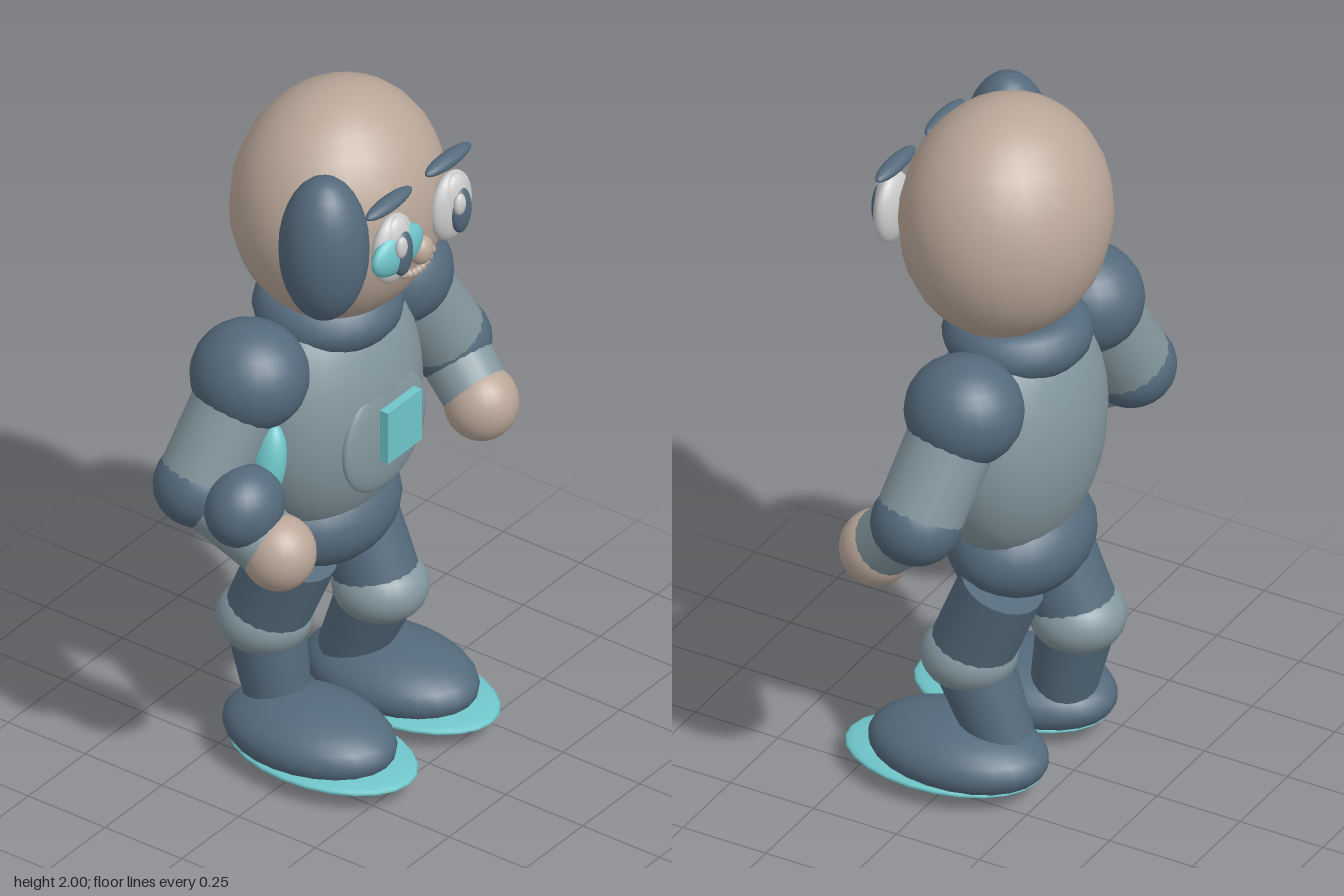
import * as THREE from 'three';

const material = (name, color) => {
  const m = new THREE.MeshStandardMaterial({ color });
  m.name = name;
  return m;
};

export function createModel() {
  const skin = material('skin', 0xbaa799);
  const dark = material('darkSlate', 0x546a7c);
  const grey = material('suitGrey', 0x84979f);
  const teal = material('teal', 0x6fc5c9);
  const white = material('eyeWhite', 0xcdcdcd);

  const model = new THREE.Group();
  model.name = 'spaceFigure';
  const ball = new THREE.SphereGeometry(1, 24, 16);

  const add = (parent, name, geometry, mat, pos) => {
    const mesh = new THREE.Mesh(geometry, mat);
    mesh.name = name;
    mesh.position.set(...pos);
    parent.add(mesh);
    return mesh;
  };
  const ellipsoid = (parent, name, mat, pos, radii) => {
    const mesh = add(parent, name, ball, mat, pos);
    mesh.scale.set(...radii);
    return mesh;
  };
  // Capped cylinder running from a to b
  const limb = (parent, name, mat, a, b, ra, rb) => {
    const from = new THREE.Vector3(...a), to = new THREE.Vector3(...b);
    const dir = to.clone().sub(from);
    const mid = from.clone().add(to).multiplyScalar(0.5);
    const mesh = add(parent, name, new THREE.CylinderGeometry(rb, ra, dir.length(), 20), mat, mid.toArray());
    mesh.quaternion.setFromUnitVectors(new THREE.Vector3(0, 1, 0), dir.normalize());
    return mesh;
  };
  const group = (name) => {
    const g = new THREE.Group();
    g.name = name;
    model.add(g);
    return g;
  };

  // Head with a pad on one side
  const head = group('head');
  ellipsoid(head, 'skull', skin, [0, 1.665, -0.045], [0.31, 0.335, 0.275]);
  ellipsoid(head, 'sidePad', dark, [-0.26, 1.695, 0.1], [0.12, 0.215, 0.12]);
  ellipsoid(head, 'nose', skin, [0, 1.6, 0.222], [0.037, 0.042, 0.032]);

  // Eyes and brows
  for (const s of [-1, 1]) {
    const side = s > 0 ? 'left' : 'right';
    const x = s * 0.128;
    ellipsoid(head, side + 'EyeRim', white, [x, 1.673, 0.225], [0.08, 0.103, 0.036]);
    ellipsoid(head, side + 'Eyeball', white, [x, 1.69, 0.235], [0.053, 0.085, 0.032]);
    ellipsoid(head, side + 'Iris', dark, [x, 1.67, 0.258], [0.037, 0.068, 0.022]);
    ellipsoid(head, side + 'Glint', white, [x - 0.021, 1.703, 0.27], [0.021, 0.032, 0.014]);
    ellipsoid(head, side + 'Brow', dark, [s * 0.13, 1.81, 0.215], [0.097, 0.02, 0.025]);
  }
  ellipsoid(head, 'eyeVisor', teal, [-0.127, 1.673, 0.24], [0.106, 0.065, 0.033]);

  // Smile made of small beads
  for (let i = -4; i <= 4; i++) {
    const t = i / 4;
    ellipsoid(head, 'smileBead', skin, [t * 0.073, 1.533 + 0.022 * t * t, 0.213 - 0.01 * t * t], [0.012, 0.012, 0.012]);
  }

  // Torso, collar, chest plate and pelvis
  const body = group('body');
  ellipsoid(body, 'torso', grey, [0, 1.03, -0.08], [0.31, 0.38, 0.21]);
  add(body, 'collar', new THREE.TorusGeometry(0.13, 0.07, 14, 28), dark, [0, 1.32, -0.08]).rotation.x = Math.PI / 2;
  ellipsoid(body, 'chestDisc', grey, [0, 0.985, 0.103], [0.18, 0.17, 0.03]);
  add(body, 'chestPanel', new THREE.BoxGeometry(0.148, 0.158, 0.026), teal, [0, 1.024, 0.158]);
  ellipsoid(body, 'pelvis', dark, [0, 0.69, -0.092], [0.237, 0.155, 0.185]);

  // Arms: the right elbow is swung further back
  for (const s of [-1, 1]) {
    const arm = group(s > 0 ? 'leftArm' : 'rightArm');
    const shoulder = [s * 0.317, 1.25, -0.1];
    const elbow = [s * 0.472, 0.97, s > 0 ? -0.045 : -0.15];
    const hand = [s * 0.445, 0.835, 0.09];
    ellipsoid(arm, 'shoulder', dark, shoulder, [0.155, 0.15, 0.16]);
    limb(arm, 'upperArm', grey, shoulder, elbow, 0.12, 0.117);
    ellipsoid(arm, 'elbow', dark, elbow, [0.122, 0.115, 0.122]);
    limb(arm, 'forearm', grey, elbow, hand, 0.1, 0.092);
    ellipsoid(arm, 'hand', skin, hand, [0.1, 0.105, 0.1]);
    if (s < 0) {
      ellipsoid(arm, 'forearmGuard', dark, [-0.475, 0.96, 0], [0.118, 0.112, 0.1]);
      ellipsoid(arm, 'armLight', teal, [-0.37, 1.04, 0], [0.042, 0.113, 0.05]).rotation.z = -0.22;
    }
  }

  // Legs in mid-step, feet side by side
  for (const s of [-1, 1]) {
    const leg = group(s > 0 ? 'leftLeg' : 'rightLeg');
    const x = s * 0.15;
    const knee = [x, 0.38, s > 0 ? -0.02 : -0.175];
    const hip = [x, 0.625, s > 0 ? -0.12 : -0.07];
    const ankle = [x, 0.14, s > 0 ? -0.12 : -0.13];
    limb(leg, 'thigh', dark, hip, knee, 0.114, 0.114);
    ellipsoid(leg, 'knee', grey, knee, [0.128, 0.1, 0.13]);
    limb(leg, 'shin', dark, knee, ankle, 0.108, 0.088);
    ellipsoid(leg, 'boot', dark, [s * 0.181, 0.1, -0.005], [0.176, 0.1, 0.255]);
    ellipsoid(leg, 'sole', teal, [s * 0.181, 0.057, 0.04], [0.181, 0.026, 0.28]);
  }
  return model;
}
